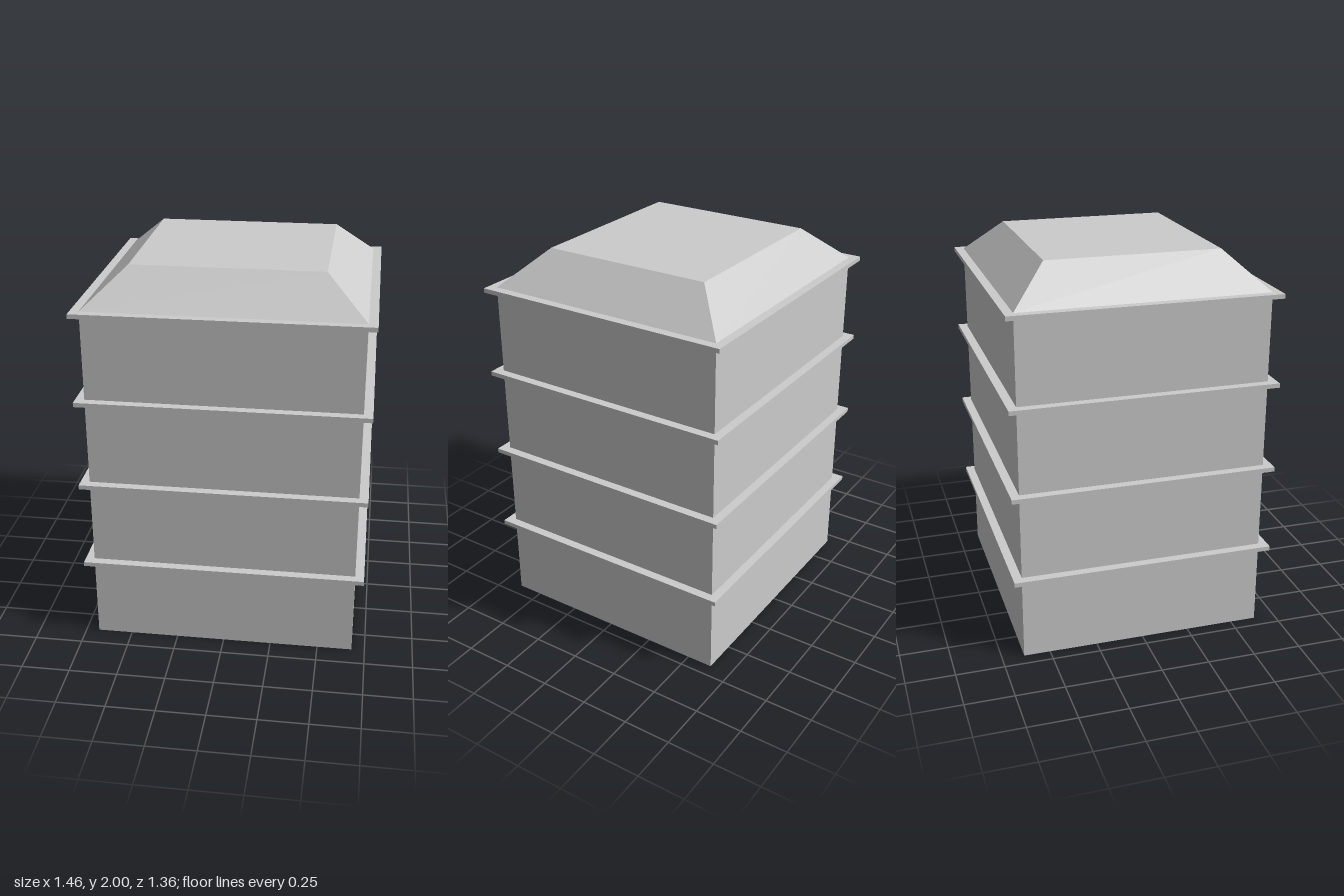
import * as THREE from 'three';

const WIDTH = 1.364, DEPTH = 1.273;      // plan of the walls
const STOREYS = 4, STOREY_HEIGHT = 0.4545;
const LEDGE_HEIGHT = 0.0227, LEDGE_OVERHANG = 0.0455;
const ROOF_HEIGHT = 0.182, ROOF_TAPER = 0.7;

const material = new THREE.MeshStandardMaterial({ color: 0xcccccc, flatShading: true });

// Box standing on the given base height
function block(name, w, h, d, baseY) {
  const geometry = new THREE.BoxGeometry(w, h, d).translate(0, h / 2, 0);
  const mesh = new THREE.Mesh(geometry, material);
  mesh.name = name;
  mesh.position.y = baseY;
  return mesh;
}

export function createModel() {
  const model = new THREE.Group();
  model.name = 'towerBlock';

  // Storeys, each finished by a projecting ledge flush with its top
  for (let i = 0; i < STOREYS; i++) {
    const storey = new THREE.Group();
    storey.name = `storey${i + 1}`;
    storey.position.y = i * STOREY_HEIGHT;
    const wallHeight = STOREY_HEIGHT - LEDGE_HEIGHT;
    storey.add(
      block('walls', WIDTH, wallHeight, DEPTH, 0),
      block('ledge', WIDTH + 2 * LEDGE_OVERHANG, LEDGE_HEIGHT, DEPTH + 2 * LEDGE_OVERHANG, wallHeight)
    );
    model.add(storey);
  }

  // Flat-topped hipped roof: a box with its top drawn inwards
  const roof = block('hippedRoof', WIDTH, ROOF_HEIGHT, DEPTH, STOREYS * STOREY_HEIGHT);
  const pos = roof.geometry.attributes.position;
  for (let i = 0; i < pos.count; i++) {
    if (pos.getY(i) > ROOF_HEIGHT / 2) {
      pos.setX(i, pos.getX(i) * ROOF_TAPER);
      pos.setZ(i, pos.getZ(i) * ROOF_TAPER);
    }
  }
  roof.geometry.computeVertexNormals();
  model.add(roof);

  return model;
}
